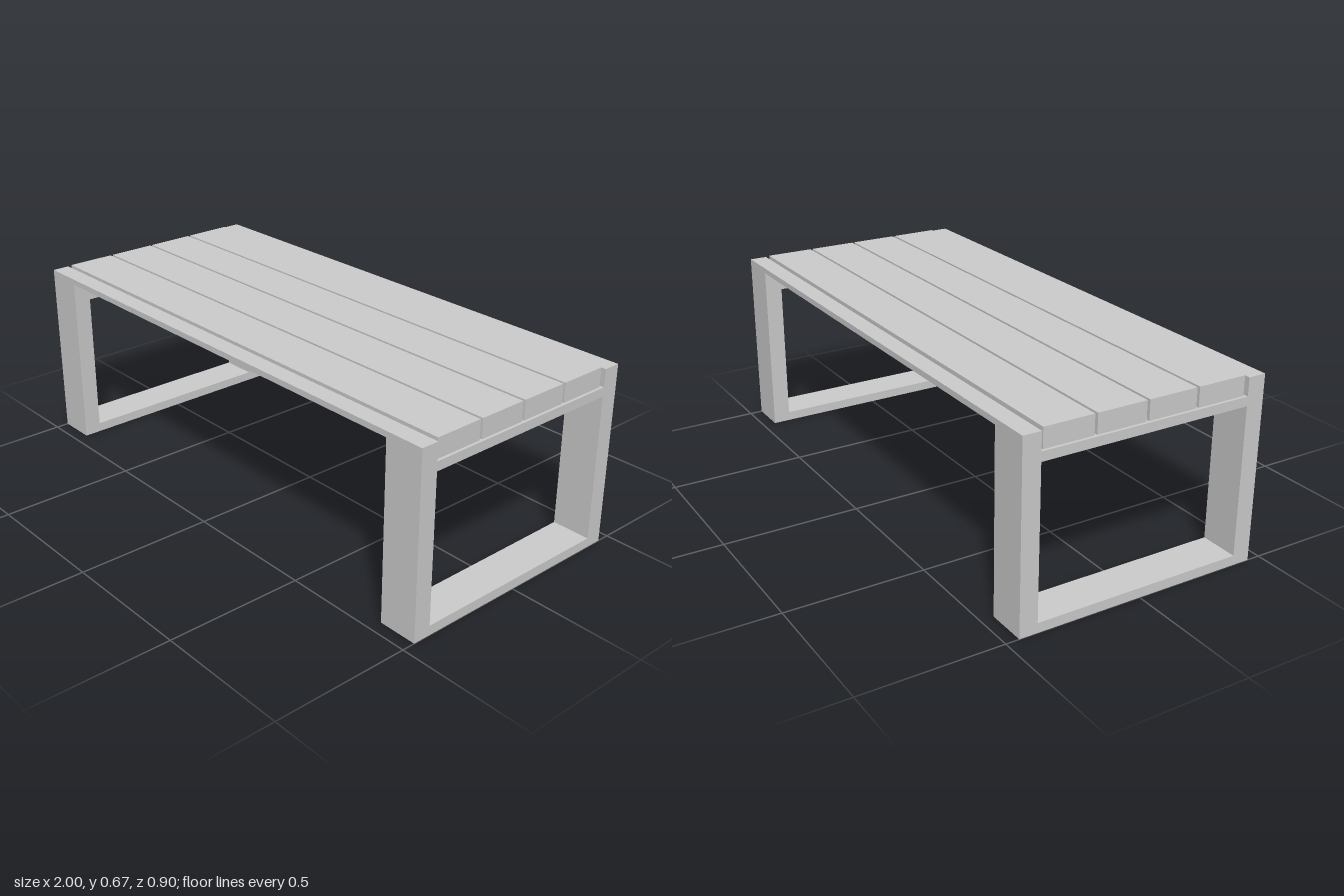
import * as THREE from 'three';

const material = new THREE.MeshStandardMaterial({ color: 0xcccccc, flatShading: true });

// Box given by its minimum and maximum along each axis
function slab(name, [x0, x1], [y0, y1], [z0, z1]) {
  const mesh = new THREE.Mesh(new THREE.BoxGeometry(x1 - x0, y1 - y0, z1 - z0), material);
  mesh.name = name;
  mesh.position.set((x0 + x1) / 2, (y0 + y1) / 2, (z0 + z1) / 2);
  return mesh;
}

const OUTER_Z = 0.452, INNER_Z = 0.387;   // faces of the legs
const LEG_WIDTH = 0.145, LEG_TOP = 0.646;
const SEAT_BOTTOM = 0.603, SEAT_TOP = 0.673;

// Closed rectangular frame at one end of the bench
function endFrame(name, xRange) {
  const frame = new THREE.Group();
  frame.name = name;
  frame.add(
    slab('frontLeg', xRange, [0, LEG_TOP], [INNER_Z, OUTER_Z]),
    slab('backLeg', xRange, [0, LEG_TOP], [-OUTER_Z, -INNER_Z]),
    slab('floorBar', xRange, [0, 0.035], [-INNER_Z, INNER_Z]),
    slab('seatSupport', xRange, [0.57, SEAT_BOTTOM], [-INNER_Z, INNER_Z])
  );
  return frame;
}

export function createModel() {
  const bench = new THREE.Group();
  bench.name = 'bench';

  bench.add(endFrame('leftFrame', [1 - LEG_WIDTH, 1]), endFrame('rightFrame', [-1, LEG_WIDTH - 1]));

  // Thin edge rails lying on top of the legs
  bench.add(
    slab('frontRail', [-1, 1], [LEG_TOP, 0.667], [INNER_Z, OUTER_Z]),
    slab('backRail', [-1, 1], [LEG_TOP, 0.667], [-OUTER_Z, -INNER_Z])
  );

  // Four seat boards with narrow gaps
  const boardDepth = 0.181, pitch = 0.191;
  for (let i = 0; i < 4; i++) {
    const z = 0.378 - i * pitch;
    bench.add(slab('seatBoard' + (i + 1), [-0.99, 0.99], [SEAT_BOTTOM, SEAT_TOP], [z - boardDepth, z]));
  }
  return bench;
}
